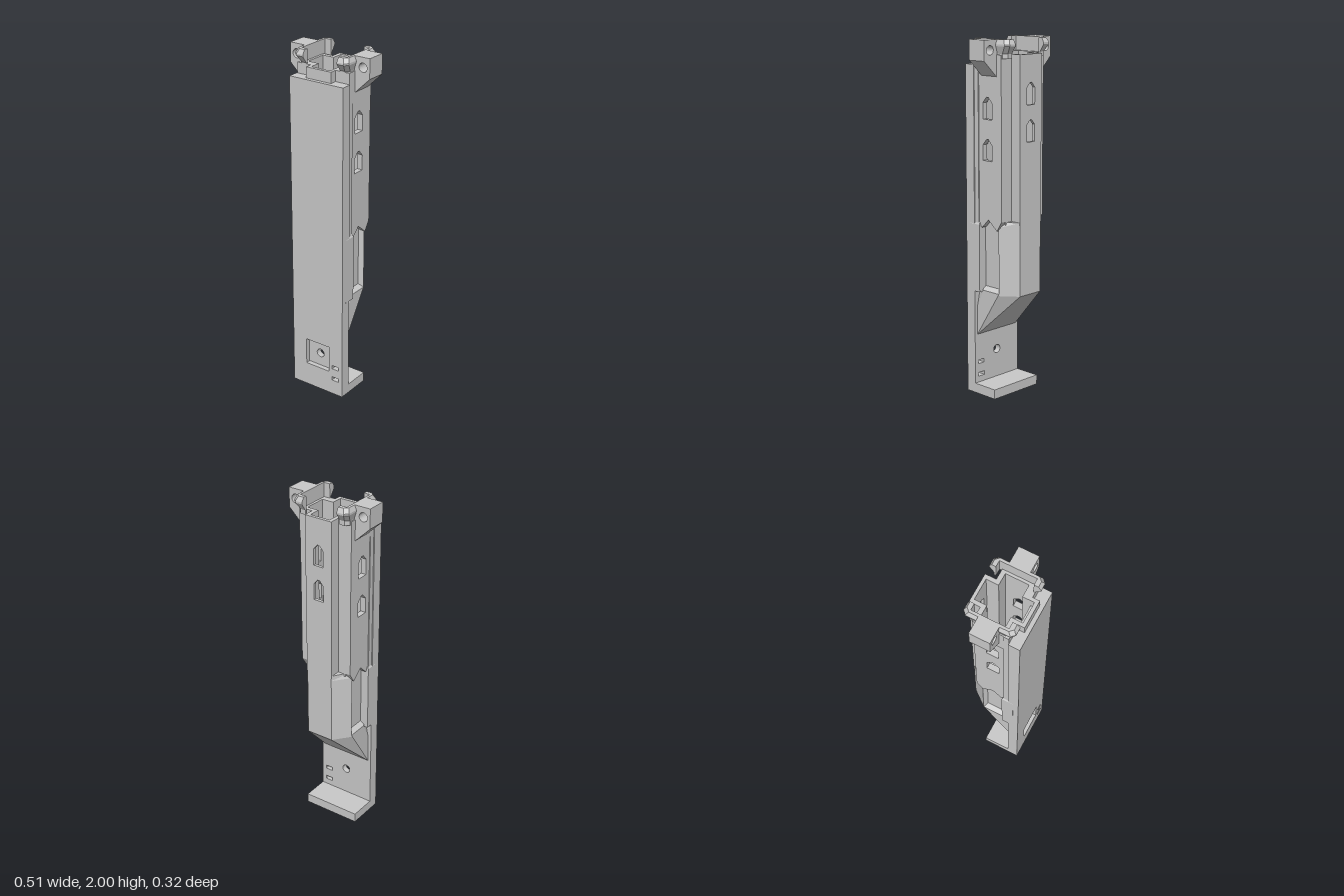
import * as THREE from 'three';
import { ConvexGeometry } from 'three/addons/geometries/ConvexGeometry.js';

const plastic = new THREE.MeshStandardMaterial({ color: 0xc8c8c8 });
plastic.name = 'light grey plastic';

const toVec = ([x, y]) => new THREE.Vector2(x, y);

// Flat panel with holes, extruded along +z from z0
function panel(points, holes, z0, depth) {
  const shape = new THREE.Shape(points.map(toVec));
  for (const h of holes) shape.holes.push(new THREE.Path(h.map(toVec)));
  return new THREE.ExtrudeGeometry(shape, { depth, bevelEnabled: false }).translate(0, 0, z0);
}

const rect = (x0, y0, x1, y1) => [[x0, y0], [x1, y0], [x1, y1], [x0, y1]];

function disc(cx, cy, r, n = 24) {
  return Array.from({ length: n }, (_, i) => {
    const a = (i / n) * Math.PI * 2;
    return [cx + r * Math.cos(a), cy + r * Math.sin(a)];
  });
}

// Window outline with a pointed top
const pointed = (cx, y0, y1, w) =>
  [[cx - w, y0], [cx + w, y0], [cx + w, y1 - w * 0.9], [cx + w * 0.2, y1], [cx - w * 0.2, y1], [cx - w, y1 - w * 0.9]];

// Solid through stacked plan sections: [y, [[x, z], ...]], from low to high
function loft(levels) {
  const plan = levels[0][1].map(([x, z]) => new THREE.Vector2(x, -z));
  const flip = THREE.ShapeUtils.area(plan) < 0;
  const rings = levels.map(([y, pts]) => {
    const ring = pts.map(([x, z]) => [x, y, z]);
    return flip ? ring.reverse() : ring;
  });
  const n = plan.length, out = [];
  const tri = (a, b, c) => out.push(...a, ...b, ...c);
  for (let k = 0; k < rings.length - 1; k++) {
    for (let i = 0; i < n; i++) {
      const j = (i + 1) % n, lo = rings[k], hi = rings[k + 1];
      tri(lo[i], lo[j], hi[j]);
      tri(lo[i], hi[j], hi[i]);
    }
  }
  const cap = (ring, up) => {
    const faces = THREE.ShapeUtils.triangulateShape(ring.map(p => new THREE.Vector2(p[0], -p[2])), []);
    for (const [a, b, c] of faces) up ? tri(ring[a], ring[b], ring[c]) : tri(ring[a], ring[c], ring[b]);
  };
  cap(rings[0], false);
  cap(rings[rings.length - 1], true);
  const g = new THREE.BufferGeometry();
  g.setAttribute('position', new THREE.Float32BufferAttribute(out, 3));
  g.computeVertexNormals();
  return g;
}

const prism = (y0, y1, pts) => loft([[y0, pts], [y1, pts]]);
// Full outline from its +x half
const both = half => [...half, ...half.map(([x, z]) => [-x, z]).reverse()];

export function createModel() {
  const model = new THREE.Group();
  const add = (name, geometry) => {
    const m = new THREE.Mesh(geometry, plastic);
    m.name = name;
    model.add(m);
  };

  // Front plate: front layer has the square pocket, back layer the screw hole
  const slots = [rect(0.102, 0.165, 0.147, 0.187), rect(0.102, 0.09, 0.147, 0.112)];
  const outline = rect(-0.172, 0, 0.172, 1.86);
  add('frontPlate', panel(outline, [rect(-0.08, 0.14, 0.08, 0.3), ...slots], 0.135, 0.028));
  add('plateBacking', panel(outline, [disc(0, 0.22, 0.025), ...slots], 0.1, 0.035));
  add('foot', new THREE.BoxGeometry(0.344, 0.055, 0.155).translate(0, 0.0275, 0.0225));

  // Rear panel of the tube, with two windows
  add('rearPanel', panel(rect(-0.06, 1, 0.06, 1.92),
    [pointed(0, 1.65, 1.77, 0.03), pointed(0, 1.45, 1.57, 0.03)], -0.162, 0.018));

  // Raised U-shaped collar behind the plate's top edge
  add('frontCollar', prism(1.85, 1.92,
    both([[0, 0.14], [0.08, 0.14], [0.08, 0.09], [0.06, 0.09], [0.06, 0.12], [0, 0.12]])));

  for (const s of [1, -1]) {
    const side = s > 0 ? 'right' : 'left';
    const m = pts => pts.map(([x, z]) => [s * x, z]);

    // Side wall with windows and a gabled lower edge (first coordinate is -z)
    const wall = panel(
      [[-0.07, 0.985], [-0.05, 0.97], [0, 1.02], [0.065, 0.965], [0.1, 1.02], [0.1, 1.92], [-0.07, 1.92]],
      [pointed(-0.005, 1.57, 1.69, 0.035), pointed(-0.005, 1.345, 1.462, 0.035)], 0, 0.032);
    add(side + 'Wall', wall.rotateY(Math.PI / 2).translate(s > 0 ? 0.13 : -0.162, 0, 0));
    add(side + 'UpperBand', new THREE.BoxGeometry(0.02, 0.17, 0.2).translate(s * 0.155, 1.835, 0));

    // Tube corners
    add(side + 'RearCorner', prism(1, 1.92, m([[0.06, -0.162], [0.083, -0.162], [0.083, -0.1],
      [0.13, -0.1], [0.13, -0.075], [0.06, -0.075]])));
    add(side + 'FrontCorner', prism(0.985, 1.92, m([[0.06, 0.055], [0.13, 0.055], [0.13, 0.07],
      [0.167, 0.07], [0.167, 0.1], [0.06, 0.1]])));

    // Flared C-shaped clip at the mouth
    const clip = (zf, zb, xo) => m([[0.108, zf], [xo - 0.02, zf], [xo, zf - 0.02],
      [xo, zb + 0.02], [xo - 0.02, zb], [0.108, zb], [0.108, -0.115], [0.145, -0.115], [0.145, 0.09], [0.108, 0.09]]);
    add(side + 'MouthClip', loft([
      [1.9, clip(0.1, -0.125, 0.158)],
      [1.925, clip(0.1, -0.125, 0.158)],
      [1.965, clip(0.13, -0.152, 0.171)],
      [1.975, clip(0.13, -0.152, 0.171)],
      [2.0, clip(0.115, -0.138, 0.16)]]));

    // Mounting lug
    add(side + 'Lug', panel(m([[0.16, 1.8], [0.172, 1.81], [0.255, 1.89], [0.255, 2], [0.16, 2]]),
      [disc(s * 0.213, 1.945, 0.025)], -0.068, 0.114));

    // Side rail with a bevelled top
    const rail = (x, z0, z1) => m([[0.12, z0], [x, z0], [x, z1], [0.12, z1]]);
    add(side + 'Rail', loft([[0.6, rail(0.173, 0.06, 0.13)], [0.985, rail(0.173, 0.06, 0.13)],
      [1.012, rail(0.155, 0.07, 0.12)]]));
  }

  // Lower body with a recessed channel in each side
  const core = x => both([[0.125, 0.102], [0.125, -0.055], [x, -0.07], [0.08, -0.162]]);
  add('lowerBody', loft([[0.6, core(0.153)], [0.985, core(0.153)], [1.015, core(0.14)]]));

  // Sloping chute under the body
  const chute = [];
  for (const s of [1, -1]) {
    for (const [x, y, z] of [[0.153, 0.34, 0.102], [0.153, 0.5, 0.102], [0.153, 0.61, 0.05],
      [0.153, 0.61, -0.07], [0.08, 0.6, -0.162], [0.125, 0.63, -0.055], [0.125, 0.63, 0.102]]) {
      chute.push(new THREE.Vector3(s * x, y, z));
    }
  }
  add('chute', new ConvexGeometry(chute));

  return model;
}
